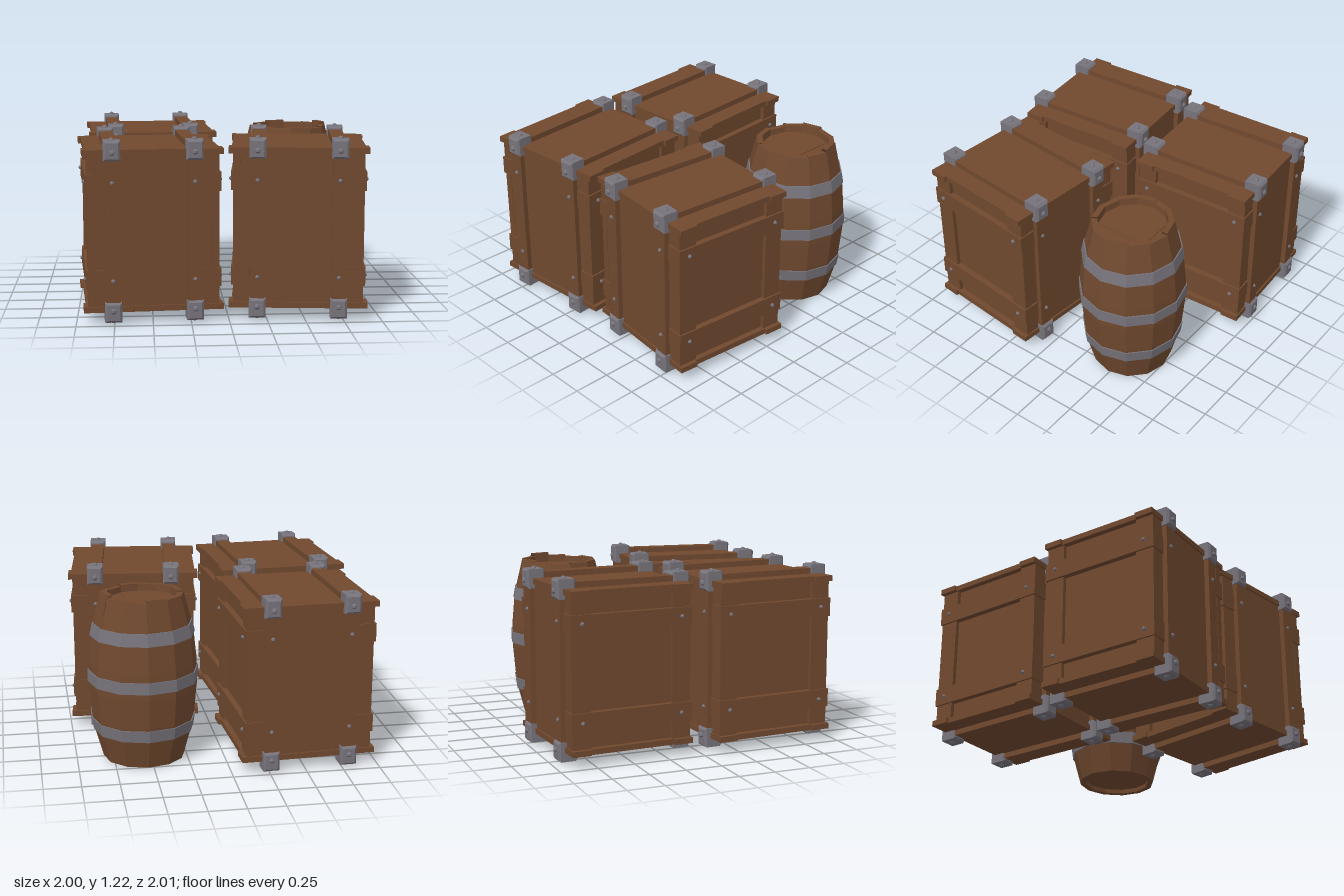
import * as THREE from 'three';

const wood = new THREE.MeshStandardMaterial({ color: 0x70492f, side: THREE.DoubleSide, flatShading: true });
wood.name = 'brown wood';
const metal = new THREE.MeshStandardMaterial({ color: 0x77737b, flatShading: true });
metal.name = 'grey metal';

function add(parent, name, geometry, material, x = 0, y = 0, z = 0) {
  const mesh = new THREE.Mesh(geometry, material);
  mesh.name = name;
  mesh.position.set(x, y, z);
  parent.add(mesh);
  return mesh;
}

const box = (parent, name, w, h, d, x, y, z) =>
  add(parent, name, new THREE.BoxGeometry(w, h, d), wood, x, y, z);

const rivet = (parent, r, x, y, z) =>
  add(parent, 'rivet', new THREE.SphereGeometry(r, 8, 5), metal, x, y, z);

// Cuboid with chamfered edges, used for the corner brackets
function chamferedBox(w, h, d, c) {
  const a = w / 2 - c, b = h / 2 - c;
  const shape = new THREE.Shape([
    new THREE.Vector2(-a, -b), new THREE.Vector2(a, -b),
    new THREE.Vector2(a, b), new THREE.Vector2(-a, b),
  ]);
  const geometry = new THREE.ExtrudeGeometry(shape, {
    depth: d - 2 * c, bevelEnabled: true, bevelSize: c, bevelThickness: c, bevelSegments: 1,
  });
  return geometry.translate(0, 0, c - d / 2);
}

function createCrate(x, z, turn) {
  const crate = new THREE.Group();
  crate.name = 'crate';
  crate.position.set(x, 0.608, z);
  crate.rotation.y = turn;
  const bracket = chamferedBox(0.11, 0.13, 0.13, 0.014);

  box(crate, 'crateBody', 0.8, 1.0, 0.83, 0, 0, 0);
  for (const sy of [-1, 1]) {
    // Lid and floor: a middle board between two longer end boards
    box(crate, 'lidMiddle', 0.878, 0.038, 0.6, 0, sy * 0.512, 0);
    for (const sz of [-1, 1]) box(crate, 'lidEnd', 0.914, 0.038, 0.13, 0, sy * 0.512, sz * 0.362);
  }

  for (const sx of [-1, 1]) {
    // Side frame: corner posts, cross rails and their rivets
    for (const sz of [-1, 1]) {
      box(crate, 'cornerPost', 0.05, 0.99, 0.13, sx * 0.403, 0, sz * 0.353);
      for (const sy of [-1, 1]) {
        box(crate, 'railEnd', 0.12, 0.125, 0.04, sx * 0.38, sy * 0.315, sz * 0.406);
        rivet(crate, 0.014, sx * 0.442, sy * 0.32, sz * 0.35);
      }
    }
    for (const sy of [-1, 1]) box(crate, 'sideRail', 0.045, 0.125, 0.85, sx * 0.418, sy * 0.315, 0);

    // Strap running around the crate, with brackets on its corners
    const bx = sx * 0.267;
    for (const s of [-1, 1]) {
      box(crate, 'flatStrap', 0.095, 0.04, 0.9, bx, s * 0.55, 0);
      box(crate, 'uprightStrap', 0.095, 1.1, 0.045, bx, 0, s * 0.4275);
      for (const sy of [-1, 1]) {
        add(crate, 'cornerBracket', bracket, metal, bx, sy * 0.527, s * 0.403);
        rivet(crate, 0.02, bx, sy * 0.589, s * 0.403);
        rivet(crate, 0.02, bx, sy * 0.515, s * 0.464);
        rivet(crate, 0.014, bx, sy * 0.32, s * 0.45);
      }
    }
  }
  return crate;
}

// Barrel outline as radius and height, from bottom to top
const OUTLINE = [[0.28, 0], [0.335, 0.2], [0.35, 0.3], [0.368, 0.5], [0.37, 0.59], [0.366, 0.68], [0.347, 0.87], [0.331, 0.95]];

function radiusAt(y) {
  let i = 0;
  while (i < OUTLINE.length - 2 && OUTLINE[i + 1][1] < y) i++;
  const [r0, y0] = OUTLINE[i], [r1, y1] = OUTLINE[i + 1];
  return r0 + (r1 - r0) * (y - y0) / (y1 - y0);
}

function createBarrel(x, z) {
  const barrel = new THREE.Group();
  barrel.name = 'barrel';
  barrel.position.set(x, 0, z);
  barrel.scale.z = 0.965;
  const lathe = (points, segments, start = 0, sweep = Math.PI * 2) =>
    new THREE.LatheGeometry(points.map(([r, y]) => new THREE.Vector2(r, y)), segments, start, sweep);

  // Staves, with slightly uneven top ends
  const sides = 12, step = Math.PI * 2 / sides;
  const tops = [1.15, 1.14, 1.15, 1.17, 1.15, 1.145, 1.16, 1.15, 1.14, 1.15, 1.15, 1.145];
  tops.forEach((top, i) => {
    const profile = [[0.235, 0.06], [0.24, 0], ...OUTLINE, [0.28, top], [0.24, top], [0.235, 1.08]];
    add(barrel, 'stave', lathe(profile, 1, i * step, step), wood);
  });

  // Sunken end discs
  add(barrel, 'barrelLid', new THREE.CylinderGeometry(0.24, 0.24, 0.03, sides), wood, 0, 1.085, 0);
  add(barrel, 'barrelLidBoard', new THREE.BoxGeometry(0.24, 0.008, 0.36), wood, 0, 1.102, 0);
  add(barrel, 'barrelBase', new THREE.CylinderGeometry(0.24, 0.24, 0.03, sides), wood, 0, 0.045, 0);

  // Hoops following the bulge
  for (const [y0, y1] of [[0.2, 0.283], [0.547, 0.627], [0.867, 0.952]]) {
    const r0 = radiusAt(y0), r1 = radiusAt(y1), t = 0.008;
    const profile = [[r0 - t, y0], [r0 + t, y0], [r1 + t, y1], [r1 - t, y1]];
    add(barrel, 'hoop', lathe(profile, sides), metal);
  }
  return barrel;
}

export function createModel() {
  const model = new THREE.Group();
  model.name = 'cratesAndBarrel';
  model.add(
    createCrate(-0.5, -0.51, 0.055),
    createCrate(-0.522, 0.5, 0.072),
    createCrate(0.495, 0.48, -0.104),
    createBarrel(0.535, -0.487),
  );
  return model;
}
